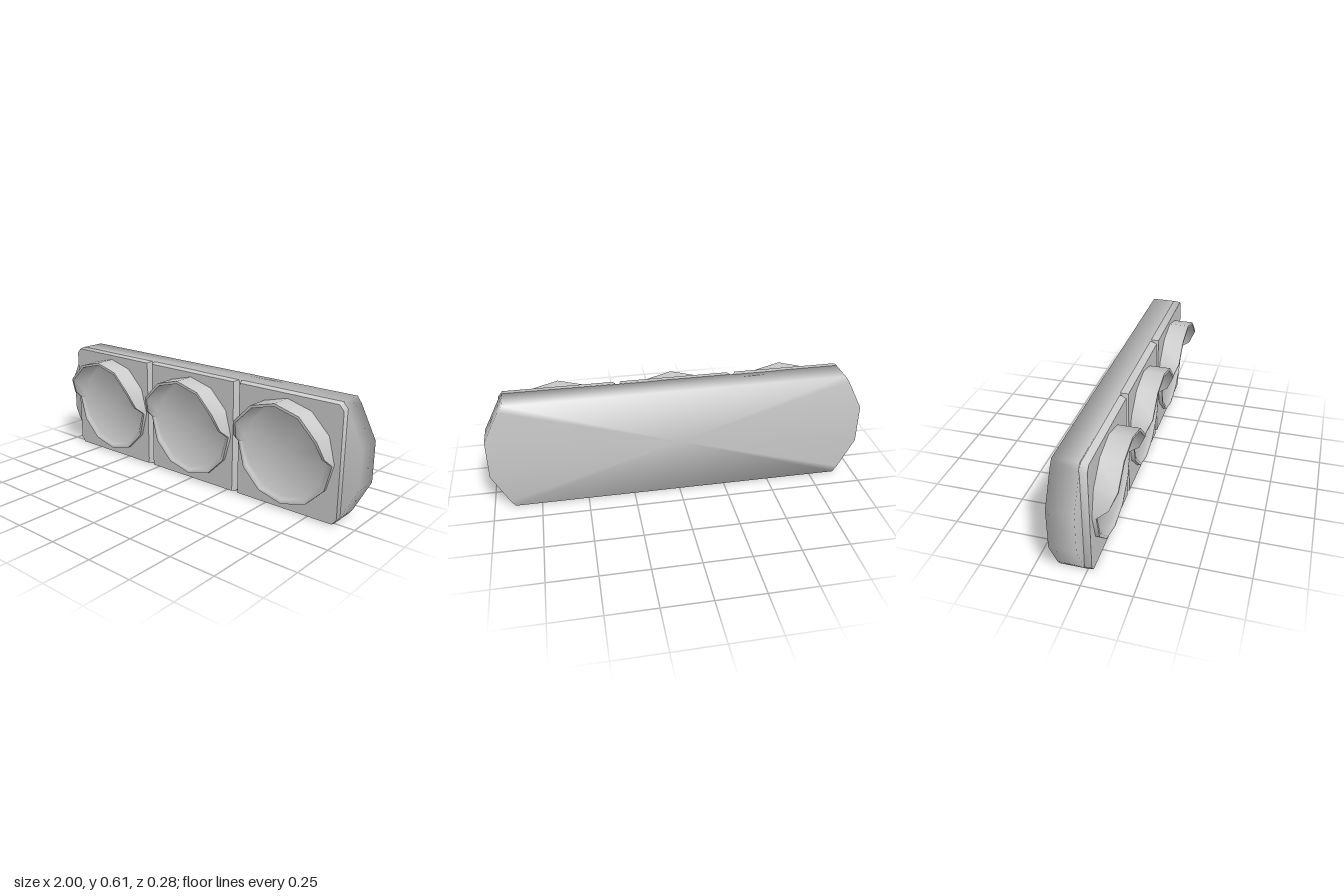
import * as THREE from 'three';
import { mergeVertices, toCreasedNormals } from 'three/addons/utils/BufferGeometryUtils.js';

const H = 0.612, CY = 0.309, PITCH = 0.61;

// Skin a list of equal-length rings (counter-clockwise from +z, back to front) and cap them.
function loft(rings, capBack, crease) {
  const n = rings[0].length, pos = [], idx = [];
  rings.forEach(r => r.forEach(p => pos.push(...p)));
  for (let r = 0; r < rings.length - 1; r++) {
    for (let i = 0; i < n; i++) {
      const j = (i + 1) % n, a = r * n + i, b = r * n + j;
      idx.push(a, b, b + n, a, b + n, a + n);
    }
  }
  const cap = (r, flip) => {
    const c = pos.length / 3, sum = [0, 0, 0];
    rings[r].forEach(p => p.forEach((v, k) => { sum[k] += v / n; }));
    pos.push(...sum);
    for (let i = 0; i < n; i++) {
      const a = r * n + i, b = r * n + (i + 1) % n;
      idx.push(c, flip ? b : a, flip ? a : b);
    }
  };
  cap(rings.length - 1, false);
  if (capBack) cap(0, true);
  let g = new THREE.BufferGeometry();
  g.setAttribute('position', new THREE.Float32BufferAttribute(pos, 3));
  g.setIndex(idx);
  if (crease) return toCreasedNormals(g, crease);
  g = mergeVertices(g);
  g.computeVertexNormals();
  return g;
}

const atZ = (pts, z) => pts.map(([x, y]) => [x, y, z]);

export function createModel() {
  const group = new THREE.Group();
  const material = new THREE.MeshStandardMaterial({ color: 0xcccccc, side: THREE.DoubleSide });
  const add = (name, geometry, x = 0) => {
    const mesh = new THREE.Mesh(geometry, material);
    mesh.name = name;
    mesh.position.x = x;
    group.add(mesh);
  };

  // Long housing with tapered ends
  const half = [[0.89, 0], [0.914, 0.033], [1, 0.2], [1, 0.412], [0.914, 0.579], [0.89, H]];
  const outline = [...half, ...half.map(([x, y]) => [-x, y]).reverse()];
  add('housing', loft([atZ(outline, -0.14), atZ(outline, -0.008)], true));

  // Front panels, separated by narrow grooves and slightly tapered toward the front
  const panelRing = (l, r, cl, cr, inset, z) => atZ([
    [l + cl, inset], [r - cr, inset], [r, 0.033], [r, H - 0.033],
    [r - cr, H - inset], [l + cl, H - inset], [l, H - 0.033], [l, 0.033]], z);
  const panel = (l, r, cl, cr) => {
    const gl = cl > 0.01 ? 0 : 0.01, gr = cr > 0.01 ? 0 : 0.01;
    return loft([
      panelRing(l, r, cl, cr, 0, -0.012),
      panelRing(l, r, cl, cr, 0, 0),
      panelRing(l + gl, r - gr, cl, cr, 0.005, 0.028)], false, 1.0);
  };
  add('rightPanel', panel(-0.914, -0.313, 0.024, 0.003));
  add('middlePanel', panel(-0.297, 0.297, 0.003, 0.003));
  add('leftPanel', panel(0.313, 0.914, 0.003, 0.024));

  // Twelve-sided unit ring with one extra point per side where the visor cut bends
  const unit = [];
  for (let i = 0; i < 12; i++) {
    const a = i * Math.PI / 6, b = a + Math.PI / 6;
    unit.push([Math.cos(a), Math.sin(a)]);
    if (i === 0 || i === 5) {
      const t = i === 0 ? 0.336 : 0.664;
      unit.push([Math.cos(a) * (1 - t) + Math.cos(b) * t, Math.sin(a) * (1 - t) + Math.sin(b) * t]);
    }
  }
  // Visor edge: deep over the top, stepping down to a shallow lower rim
  const tipZ = y => (y > 0.4 ? 0.14 : y > 0.1 ? 0.103 : 0.048);
  const ring = (r, z) => unit.map(([x, y]) => [x * r, CY + y * r, z ?? tipZ(y)]);
  const visor = loft([ring(0.274, 0.015), ring(0.274), ring(0.26), ring(0.254, 0.042), ring(0.238, 0.031)], false, 1.0);
  ['rightVisorAndLens', 'middleVisorAndLens', 'leftVisorAndLens'].forEach((name, i) => add(name, visor, (i - 1) * PITCH));

  return group;
}
